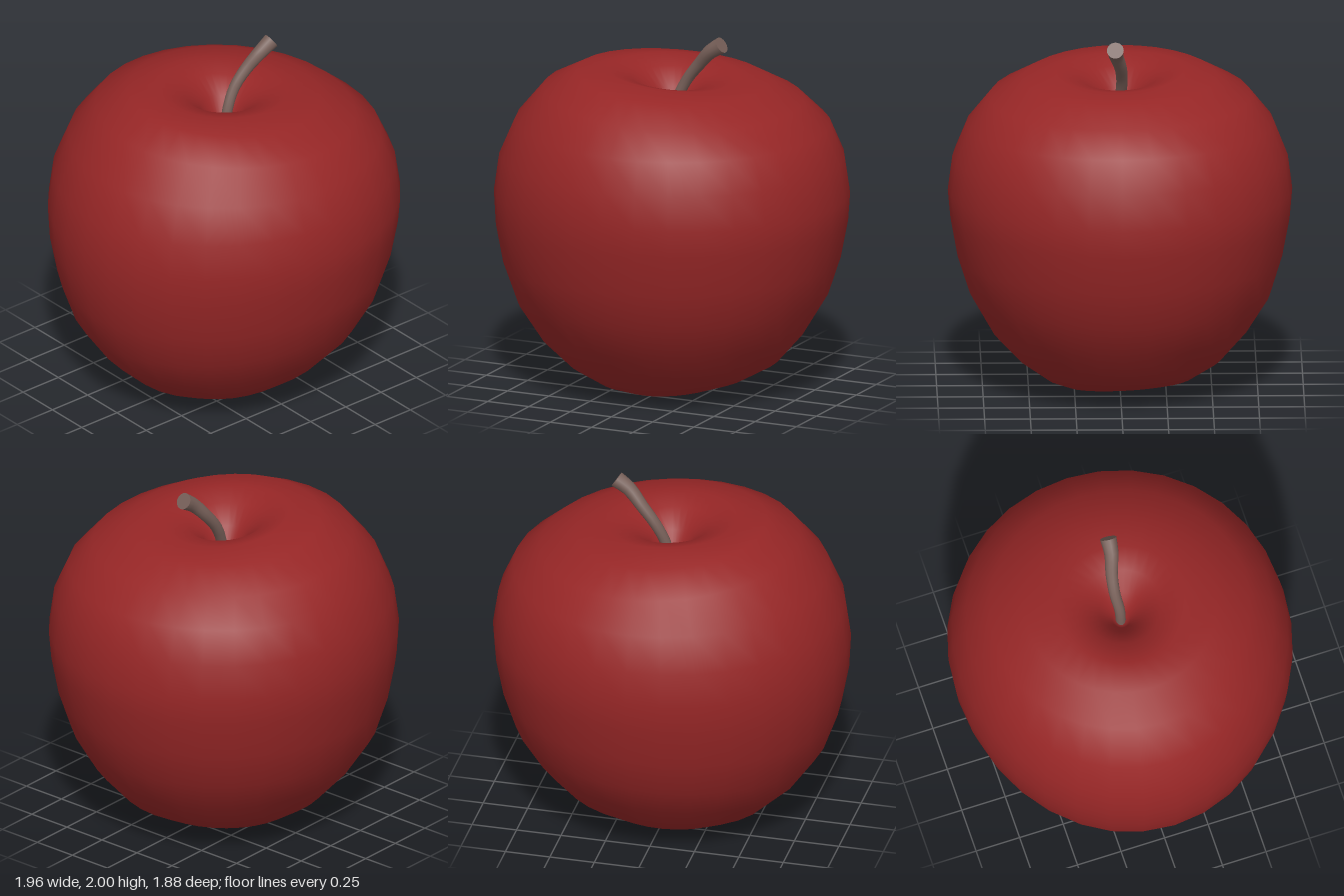
import * as THREE from 'three';
import { mergeVertices } from 'three/addons/utils/BufferGeometryUtils.js';

const SIDES = 32;

// Cross-sections from the stem hollow down to the base hollow:
// [x left of model axis, x right, z radius, height at -x, +x, +z, -z]
const RINGS = [
  [0, 0, 0, 1.45, 1.45, 1.45, 1.45],
  [-0.05, 0.05, 0.05, 1.53, 1.53, 1.53, 1.53],
  [-0.12, 0.12, 0.12, 1.65, 1.64, 1.64, 1.65],
  [-0.22, 0.22, 0.22, 1.74, 1.71, 1.73, 1.74],
  [-0.35, 0.35, 0.35, 1.785, 1.73, 1.765, 1.78],
  [-0.52, 0.53, 0.53, 1.78, 1.71, 1.73, 1.74],
  [-0.70, 0.72, 0.715, 1.69, 1.61, 1.63, 1.64],
  [-0.86, 0.87, 0.84, 1.50, 1.48, 1.48, 1.49],
  [-0.95, 0.95, 0.915, 1.29, 1.30, 1.30, 1.30],
  [-0.98, 0.98, 0.94, 1.08, 1.10, 1.11, 1.11],
  [-0.97, 0.97, 0.925, 0.88, 0.95, 0.95, 0.94],
  [-0.93, 0.93, 0.885, 0.67, 0.74, 0.73, 0.73],
  [-0.85, 0.86, 0.82, 0.45, 0.53, 0.53, 0.52],
  [-0.71, 0.74, 0.70, 0.25, 0.33, 0.32, 0.33],
  [-0.55, 0.60, 0.55, 0.10, 0.17, 0.16, 0.16],
  [-0.39, 0.44, 0.40, 0.02, 0.08, 0.05, 0.06],
  [-0.29, 0.34, 0.29, 0.003, 0.05, 0.007, 0.03],
  [-0.19, 0.21, 0.20, 0.02, 0.05, 0.02, 0.04],
  [-0.10, 0.10, 0.10, 0.09, 0.10, 0.09, 0.10],
  [-0.04, 0.04, 0.04, 0.17, 0.17, 0.17, 0.17],
  [0, 0, 0, 0.20, 0.20, 0.20, 0.20],
];

function bodyGeometry() {
  const positions = [], index = [];
  RINGS.forEach(([xl, xr, rz, yl, yr, yf, yb], i) => {
    for (let j = 0; j < SIDES; j++) {
      const t = (j / SIDES) * Math.PI * 2, c = Math.cos(t), s = Math.sin(t);
      // The height wanders smoothly through the four given values
      const y = (yl + yr + yf + yb) / 4 + ((yr - yl) / 2) * c + ((yf - yb) / 2) * s
        + ((yl + yr - yf - yb) / 4) * Math.cos(2 * t);
      positions.push((xl + xr) / 2 + ((xr - xl) / 2) * c + 0.03 * rz * s * s, y, rz * s);
      if (i === RINGS.length - 1) continue;
      const k = (j + 1) % SIDES;
      const a = i * SIDES + j, b = a + SIDES, d = i * SIDES + k, e = d + SIDES;
      if (i > 0) index.push(b, a, d);
      if (i < RINGS.length - 2) index.push(b, d, e);
    }
  });
  const g = new THREE.BufferGeometry();
  g.setAttribute('position', new THREE.Float32BufferAttribute(positions, 3));
  g.setIndex(index);
  const merged = mergeVertices(g, 1e-5);
  merged.computeVertexNormals();
  return merged;
}

export function createModel() {
  const model = new THREE.Group();
  model.name = 'apple';
  const red = new THREE.MeshStandardMaterial({ color: 0x962626 });
  red.name = 'red skin';
  const brown = new THREE.MeshStandardMaterial({ color: 0x765f58 });
  brown.name = 'brown stem';

  const body = new THREE.Mesh(bodyGeometry(), red);
  body.name = 'body';
  model.add(body);

  // Bent stem that thickens towards its tip
  const path = new THREE.CatmullRomCurve3([
    [0.01, 1.42, 0], [0.03, 1.60, 0], [0.09, 1.73, -0.01],
    [0.17, 1.83, 0], [0.25, 1.915, 0.025], [0.32, 1.96, 0.03],
  ].map((p) => new THREE.Vector3(...p)));
  const steps = 16, sides = 12;
  const radius = (u) => 0.029 + 0.017 * u ** 3;
  const tube = new THREE.TubeGeometry(path, steps, 1, sides);
  const pos = tube.attributes.position, v = new THREE.Vector3();
  for (let i = 0; i < pos.count; i++) {
    const u = Math.floor(i / (sides + 1)) / steps, centre = path.getPointAt(u);
    v.fromBufferAttribute(pos, i).sub(centre).multiplyScalar(radius(u)).add(centre);
    pos.setXYZ(i, v.x, v.y, v.z);
  }
  const stem = new THREE.Mesh(tube, brown);
  stem.name = 'stem';
  model.add(stem);

  // Flat cut end of the stem
  const tip = new THREE.Mesh(new THREE.CircleGeometry(radius(1), 24), brown);
  tip.name = 'stemTip';
  tip.position.copy(path.getPointAt(1));
  tip.quaternion.setFromUnitVectors(new THREE.Vector3(0, 0, 1), path.getTangentAt(1));
  model.add(tip);
  return model;
}
